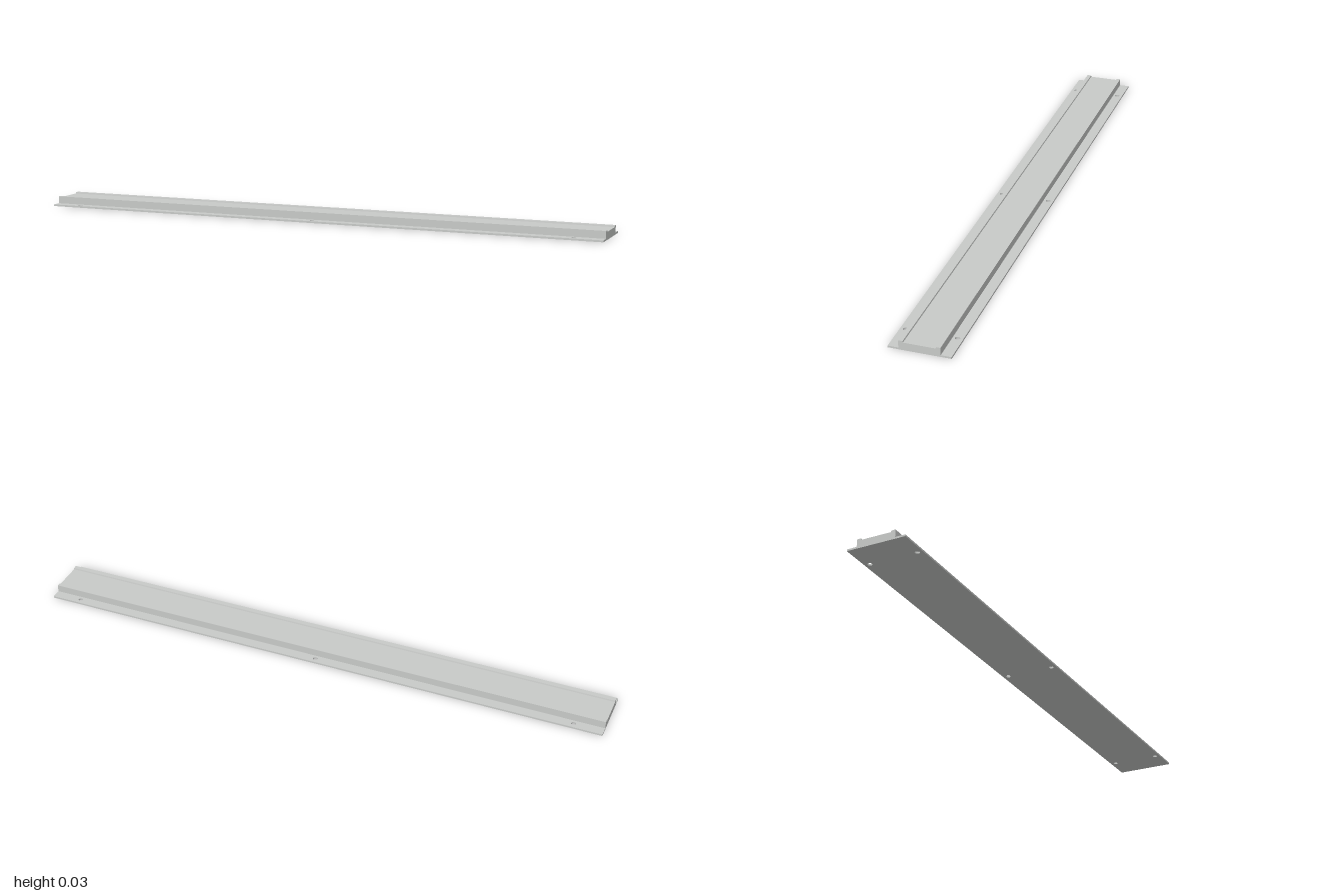
import * as THREE from 'three';

const LENGTH = 2;
const BASE_HALF = 0.1;
const BASE_TOP = 0.006;

export function createModel() {
  const model = new THREE.Group();
  model.name = 'mountingRail';
  const metal = new THREE.MeshStandardMaterial({ color: 0xc8cac8 });
  metal.name = 'light grey metal';

  // Base plate with a row of screw holes along each flange
  const plate = new THREE.Shape();
  plate.moveTo(-LENGTH / 2, -BASE_HALF);
  plate.lineTo(LENGTH / 2, -BASE_HALF);
  plate.lineTo(LENGTH / 2, BASE_HALF);
  plate.lineTo(-LENGTH / 2, BASE_HALF);
  plate.closePath();
  for (const x of [-0.9, 0, 0.9]) {
    for (const z of [-0.082, 0.082]) {
      const hole = new THREE.Path();
      hole.absarc(x, z, 0.008, 0, Math.PI * 2, true);
      plate.holes.push(hole);
    }
  }
  const plateGeometry = new THREE.ExtrudeGeometry(plate, {
    depth: BASE_TOP, bevelEnabled: false, curveSegments: 16,
  });
  plateGeometry.rotateX(-Math.PI / 2);
  const basePlate = new THREE.Mesh(plateGeometry, metal);
  basePlate.name = 'basePlate';
  model.add(basePlate);

  // Raised rail: a shallow channel between two edge lips, mirrored about z = 0
  const half = [[0.066, BASE_TOP], [0.066, 0.031], [0.052, 0.031], [0.051, 0.026]];
  const outline = [...half, ...half.map(([z, y]) => [-z, y]).reverse()];
  const profile = new THREE.Shape(outline.map(([z, y]) => new THREE.Vector2(z, y)));
  const railGeometry = new THREE.ExtrudeGeometry(profile, { depth: LENGTH, bevelEnabled: false });
  railGeometry.translate(0, 0, -LENGTH / 2);
  railGeometry.rotateY(Math.PI / 2);
  const rail = new THREE.Mesh(railGeometry, metal);
  rail.name = 'raisedRail';
  model.add(rail);

  return model;
}
